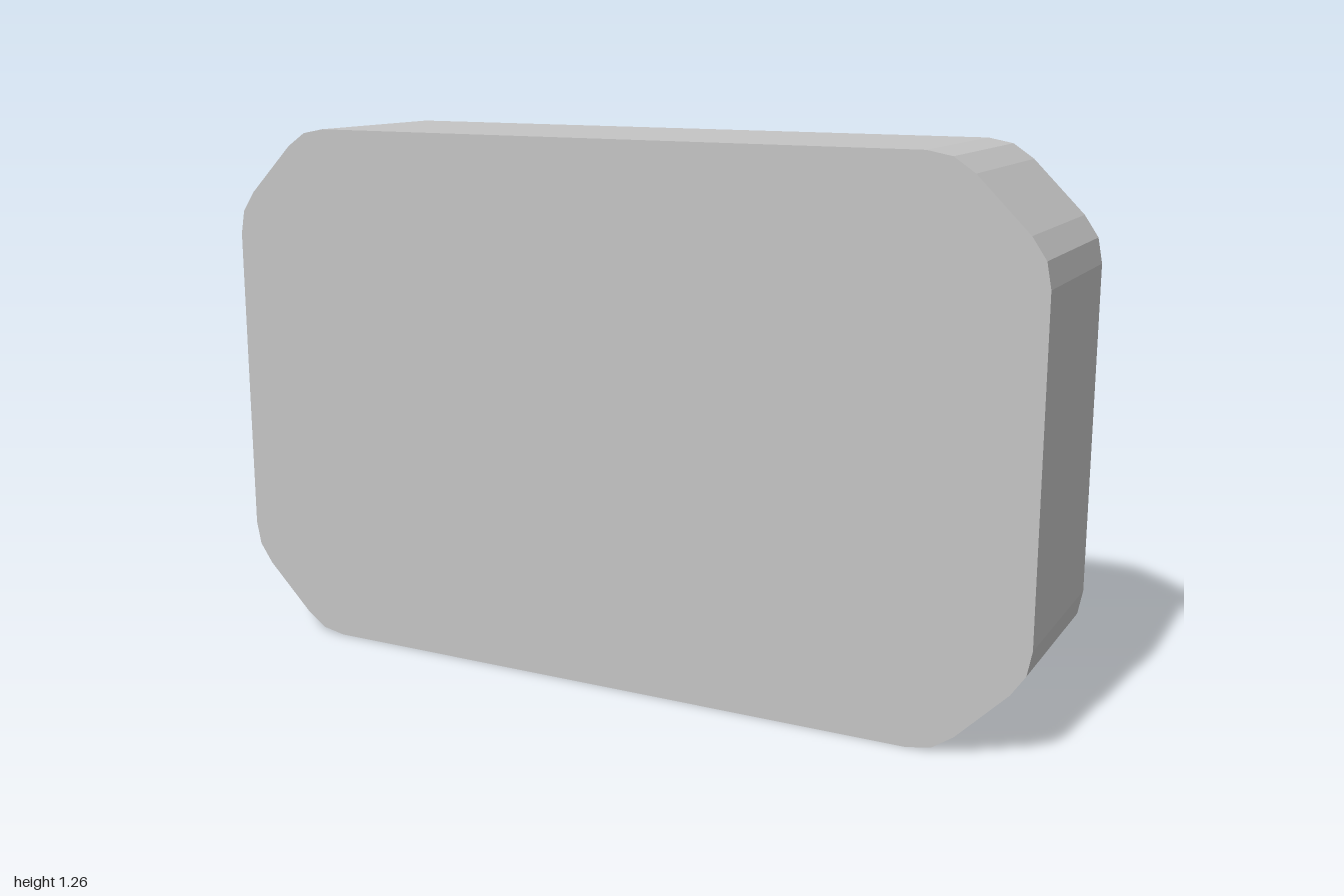
import * as THREE from 'three';

const WIDTH = 2, HEIGHT = 1.256;
const FRONT = 0.265, BACK = -0.16, FLOOR = -0.095, KNOB_END = -0.265;

// Trace a closed polygon, easing each corner over distance t along its edges
function roundedPath(path, corners, t) {
  const pts = corners.map(([x, y]) => new THREE.Vector2(x, y));
  const towards = (a, b) => b.clone().sub(a).setLength(t).add(a);
  pts.forEach((p, i) => {
    const before = towards(p, pts[(i + pts.length - 1) % pts.length]);
    const after = towards(p, pts[(i + 1) % pts.length]);
    if (i === 0) path.moveTo(before.x, before.y);
    else path.lineTo(before.x, before.y);
    path.quadraticCurveTo(p.x, p.y, after.x, after.y);
  });
  path.closePath();
  return path;
}

// Rectangle outline with its corners cut off at 45 degrees
function bodyOutline() {
  const w = WIDTH / 2, h = HEIGHT, c = 0.2;
  return roundedPath(new THREE.Shape(), [
    [-w + c, 0], [w - c, 0], [w, c], [w, h - c],
    [w - c, h], [-w + c, h], [-w, h - c], [-w, c],
  ], 0.06);
}

function slab(name, shape, z0, z1, material) {
  const geometry = new THREE.ExtrudeGeometry(shape, { depth: z1 - z0, bevelEnabled: false, curveSegments: 2 });
  geometry.translate(0, 0, z0);
  const mesh = new THREE.Mesh(geometry, material);
  mesh.name = name;
  return mesh;
}

export function createModel() {
  const group = new THREE.Group();
  group.name = 'deviceCase';
  const grey = new THREE.MeshStandardMaterial({ color: 0xc4c4c4 });
  grey.name = 'light grey';

  // Solid part of the case; its back forms the floor of the screen recess
  group.add(slab('caseBody', bodyOutline(), FLOOR, FRONT, grey));

  // Back layer with the screen opening
  const rim = bodyOutline();
  rim.holes.push(roundedPath(new THREE.Path(), [
    [-0.667, 0.45], [-0.667, 1.037], [0.667, 1.037], [0.667, 0.45],
  ], 0.015));
  group.add(slab('screenSurround', rim, BACK, FLOOR, grey));

  // Two round knobs below the screen
  const length = BACK - KNOB_END;
  const knob = new THREE.CylinderGeometry(0.099, 0.099, length, 32).rotateX(Math.PI / 2).toNonIndexed();
  knob.computeVertexNormals();
  [['rightKnob', -0.237], ['leftKnob', 0.333]].forEach(([name, x]) => {
    const mesh = new THREE.Mesh(knob, grey);
    mesh.name = name;
    mesh.position.set(x, 0.235, BACK - length / 2);
    group.add(mesh);
  });

  return group;
}
